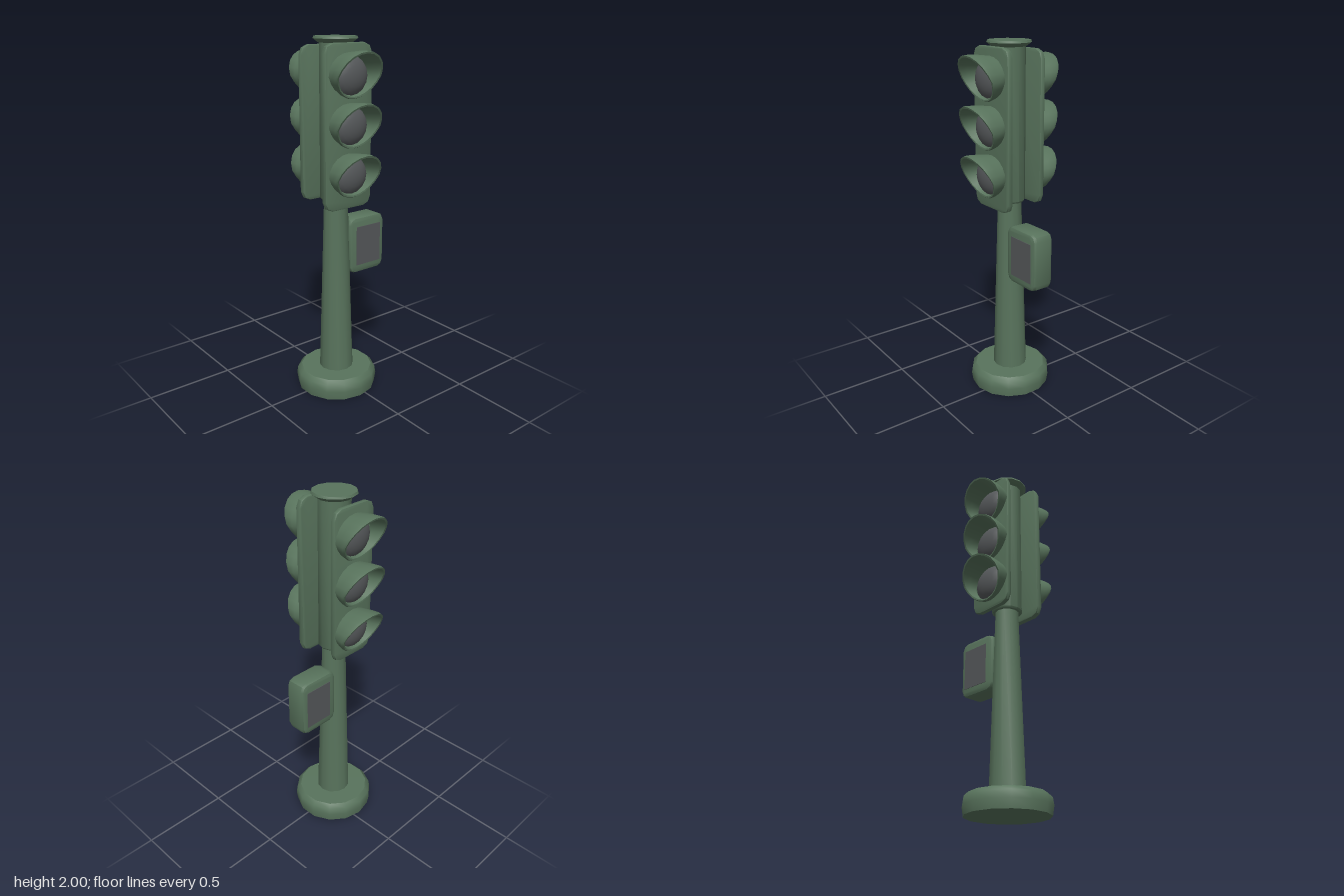
import * as THREE from 'three';
import { toCreasedNormals } from 'three/addons/utils/BufferGeometryUtils.js';

const CX = -0.04; // axis of the post

export function createModel() {
  const green = new THREE.MeshStandardMaterial({ color: 0x58735c });
  green.name = 'paintedGreen';
  const grey = new THREE.MeshStandardMaterial({ color: 0x55585a });
  grey.name = 'darkGlass';

  const model = new THREE.Group();
  model.name = 'trafficLight';

  const add = (parent, name, geometry, material, x = 0, y = 0, z = 0) => {
    const mesh = new THREE.Mesh(geometry, material);
    mesh.name = name;
    mesh.position.set(x, y, z);
    parent.add(mesh);
    return mesh;
  };
  const lathe = (points, sides) => toCreasedNormals(
    new THREE.LatheGeometry(points.map(([r, y]) => new THREE.Vector2(r, y)), sides), 0.75);

  // Post: rounded foot, tapering pole, signal column and cap
  add(model, 'base', lathe([[0, 0], [0.226, 0], [0.234, 0.05], [0.228, 0.09], [0.205, 0.113], [0, 0.115]], 14), green, CX);
  add(model, 'pole', lathe([[0.098, 0.1], [0.066, 1.14]], 12), green, CX);
  add(model, 'column', lathe([[0, 1.13], [0.08, 1.13], [0.087, 1.14], [0.087, 1.98]], 12), green, CX);
  add(model, 'cap', lathe([[0, 1.965], [0.092, 1.967], [0.12, 1.988], [0.115, 2], [0, 2]], 12), green, CX);

  // Rectangle with cut corners, extruded with a fine bevel, starting at z = 0
  const cutPlate = (w, h, cut, depth, bevel) => {
    const a = w / 2 - bevel, b = h / 2 - bevel;
    const shape = new THREE.Shape([
      [-a + cut, -b], [a - cut, -b], [a - cut * 0.3, -b + cut * 0.3], [a, -b + cut],
      [a, b - cut], [a - cut * 0.3, b - cut * 0.3], [a - cut, b],
      [-a + cut, b], [-a + cut * 0.3, b - cut * 0.3], [-a, b - cut],
      [-a, -b + cut], [-a + cut * 0.3, -b + cut * 0.3],
    ].map(([x, y]) => new THREE.Vector2(x, y)));
    const geometry = new THREE.ExtrudeGeometry(shape, {
      depth: depth - 2 * bevel, bevelEnabled: true, bevelSize: bevel,
      bevelThickness: bevel, bevelSegments: 2, steps: 1,
    });
    geometry.translate(0, 0, bevel);
    return toCreasedNormals(geometry, 0.75);
  };

  // Hood: flared shell whose open rim slants back towards the bottom
  const hoodGeometry = () => {
    const sides = 20;
    const rings = [ // [radius, share of the depth]
      [0.129, 0], [0.139, 0.5], [0.143, 0.85], [0.139, 1],
      [0.129, 0.98], [0.122, 0.6], [0.11, 0],
    ];
    const positions = [], index = [];
    rings.forEach(([r, t]) => {
      for (let j = 0; j < sides; j++) {
        const angle = (j / sides) * Math.PI * 2;
        const s = Math.sin(angle);
        const depth = s > 0 ? 0.085 + 0.065 * s : 0.085 + 0.045 * s;
        const tall = s > 0 ? 0.92 : 0.8;
        positions.push(r * Math.cos(angle) * (s < 0 ? 1 + 0.1 * s : 1.03), r * s * tall, depth * t);
      }
    });
    for (let i = 0; i < rings.length - 1; i++) {
      for (let j = 0; j < sides; j++) {
        const k = (j + 1) % sides;
        const a = i * sides + j, b = i * sides + k;
        index.push(a, b, a + sides, b, b + sides, a + sides);
      }
    }
    const geometry = new THREE.BufferGeometry();
    geometry.setAttribute('position', new THREE.Float32BufferAttribute(positions, 3));
    geometry.setIndex(index);
    return toCreasedNormals(geometry, 0.9);
  };
  const hood = hoodGeometry();
  const lens = new THREE.SphereGeometry(0.112, 16, 6, 0, Math.PI * 2, 0, Math.PI / 2);
  lens.rotateX(Math.PI / 2);
  lens.scale(1, 0.95, 0.55);

  // Signal head facing +z: backing panel with three hooded lamps
  const signalHead = (name, width, bottom, top, panelZ, thickness, drop) => {
    const head = new THREE.Group();
    head.name = name;
    add(head, 'panel', cutPlate(width, top - bottom, 0.045, thickness, 0.008), green, 0, (top + bottom) / 2, panelZ);
    for (const y of [1.805, 1.548, 1.285]) {
      add(head, 'hood', hood, green, 0, y - drop, 0.12);
      add(head, 'lens', lens, grey, 0, y - drop, 0.118);
    }
    head.position.x = CX - 0.005;
    model.add(head);
    return head;
  };
  signalHead('frontSignal', 0.31, 1.1, 1.97, 0.085, 0.035, 0);
  signalHead('backSignal', 0.28, 1.115, 1.955, 0.105, 0.03, 0.012).rotation.y = Math.PI;

  // Crossing box on the model's left, with a dark screen on each face
  const box = new THREE.Group();
  box.name = 'crossingBox';
  const body = cutPlate(0.25, 0.33, 0.025, 0.128, 0.02);
  add(box, 'boxBody', body, green, 0.14, 0.845, -0.067);
  const screen = new THREE.BoxGeometry(0.172, 0.228, 0.006);
  for (const z of [0.061, -0.067]) add(box, 'screen', screen, grey, 0.147, 0.842, z);
  model.add(box);

  return model;
}
